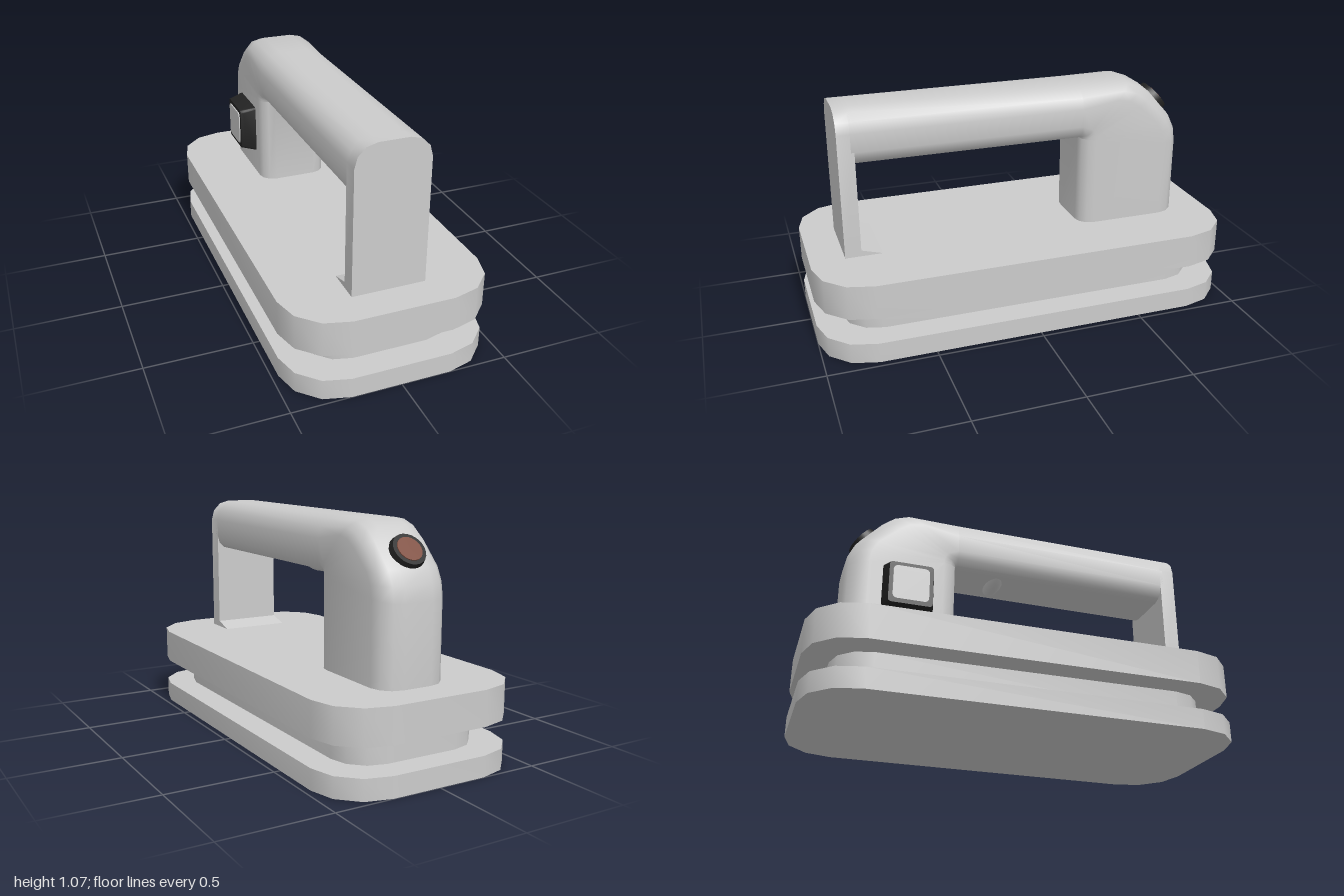
import * as THREE from 'three';
import { toCreasedNormals } from 'three/addons/utils/BufferGeometryUtils.js';

const SEG = 3; // segments per rounded corner
const V = (x, y, z) => new THREE.Vector3(x, y, z);
const grey = new THREE.MeshStandardMaterial({ color: 0xcccccc });
const black = new THREE.MeshStandardMaterial({ color: 0x222222 });
const brown = new THREE.MeshStandardMaterial({ color: 0x7d4a3a });

// Points of a rounded rectangle, counterclockwise; radii run from corner (+,+) round to (+,-)
function roundedRect(a, b, radii) {
  const pts = [];
  [[1, 1], [-1, 1], [-1, -1], [1, -1]].forEach(([sx, sy], k) => {
    const r = radii[k];
    const n = r > 0 ? SEG : 0;
    for (let i = 0; i <= n; i++) {
      const t = (k + (n ? i / n : 0)) * Math.PI / 2;
      pts.push(new THREE.Vector2(sx * (a - r) + r * Math.cos(t), sy * (b - r) + r * Math.sin(t)));
    }
  });
  return pts;
}

// Rounded rectangle placed in space on axes u and v
const ring = (c, u, v, a, b, radii) =>
  roundedRect(a, b, radii).map(p => c.clone().addScaledVector(u, p.x).addScaledVector(v, p.y));

// Capped skin over rings, running along u x v
function loft(rings) {
  const n = rings[0].length;
  const pos = [];
  const idx = [];
  rings.flat().forEach(p => pos.push(p.x, p.y, p.z));
  for (let j = 0; j < rings.length - 1; j++) {
    for (let i = 0; i < n; i++) {
      const a = j * n + i, b = j * n + (i + 1) % n;
      idx.push(a, b, b + n, a, b + n, a + n);
    }
  }
  const last = (rings.length - 1) * n;
  for (let i = 1; i < n - 1; i++) {
    idx.push(0, i + 1, i, last, last + i, last + i + 1);
  }
  const g = new THREE.BufferGeometry();
  g.setAttribute('position', new THREE.Float32BufferAttribute(pos, 3));
  g.setIndex(idx);
  return toCreasedNormals(g, 0.75);
}

function mesh(name, geometry, material = grey) {
  const m = new THREE.Mesh(geometry, material);
  m.name = name;
  return m;
}

// Horizontal plate with rounded corners
function plate(name, a, b, r, y0, y1) {
  const g = new THREE.ExtrudeGeometry(new THREE.Shape(roundedRect(a, b, [r, r, r, r])),
    { depth: y1 - y0, bevelEnabled: false });
  g.rotateX(-Math.PI / 2).translate(0, y0, 0);
  return mesh(name, toCreasedNormals(g, 0.75));
}

export function createModel() {
  const model = new THREE.Group();

  // Base: two wide plates with a narrower core between them
  model.add(
    plate('bottomPlate', 0.47, 1, 0.24, 0, 0.095),
    plate('middleCore', 0.343, 0.875, 0.17, 0.095, 0.22),
    plate('topPlate', 0.47, 1, 0.24, 0.22, 0.38),
  );

  // Handle: inner and outer edge as [z, y] from the rear leg, round the bend, to the front
  const stations = [
    [-0.31, 0.38, -0.835, 0.38],
    [-0.31, 0.81, -0.835, 0.74],
    [-0.31, 0.81, -0.825, 0.81],
    [-0.31, 0.81, -0.795, 0.875],
    [-0.31, 0.81, -0.69, 0.992],
    [-0.31, 0.81, -0.63, 1.04],
    [-0.31, 0.81, -0.56, 1.065],
    [-0.31, 0.81, -0.31, 1.065],
    [0.78, 0.81, 0.78, 1.065],
  ];
  model.add(mesh('handle', loft(stations.map(([z0, y0, z1, y1]) => {
    const inner = V(0, y0, z0), outer = V(0, y1, z1);
    const v = outer.clone().sub(inner);
    const half = v.length() / 2;
    return ring(inner.add(outer).multiplyScalar(0.5), V(1, 0, 0), v.normalize(),
      0.17, half, [0.1, 0.1, 0.07, 0.07]);
  }))));

  // Finger bump under the grip
  const bump = mesh('fingerBump', new THREE.SphereGeometry(1, 20, 14));
  bump.scale.set(0.11, 0.065, 0.05);
  bump.position.set(0, 0.845, -0.09);
  model.add(bump);

  // Flat front support with rounded top
  const strip = new THREE.ExtrudeGeometry(
    new THREE.Shape(roundedRect(0.17, 0.3425, [0.1, 0.1, 0, 0])), { depth: 0.075, bevelEnabled: false });
  strip.translate(0, 0.7225, 0.765);
  model.add(mesh('frontSupport', toCreasedNormals(strip, 0.75)));

  // Low wedge at the foot of the support
  const wedgeShape = new THREE.Shape([[-0.77, 0.37], [-0.65, 0.375], [-0.77, 0.41]]
    .map(p => new THREE.Vector2(...p)));
  const wedge = new THREE.ExtrudeGeometry(wedgeShape, { depth: 0.34, bevelEnabled: false });
  wedge.rotateY(Math.PI / 2).translate(-0.17, 0, 0);
  model.add(mesh('footWedge', wedge));

  // Side switch: tapered dark housing with a pale key
  const switchGroup = new THREE.Group();
  switchGroup.name = 'sideSwitch';
  const block = levels => loft(levels.map(([x, h, r]) =>
    ring(V(x, 0.623, -0.548), V(0, 0, 1), V(0, 1, 0), h, h, [r, r, r, r])));
  switchGroup.add(
    mesh('switchHousing', block([[-0.16, 0.12, 0.012], [-0.175, 0.12, 0.012],
      [-0.23, 0.107, 0.015], [-0.245, 0.103, 0.015]]), black),
    mesh('switchKey', block([[-0.235, 0.087, 0.02], [-0.25, 0.084, 0.02]])),
  );
  model.add(switchGroup);

  // Round button on the sloping rear corner
  const button = new THREE.Group();
  button.name = 'rearButton';
  const bezel = mesh('buttonBezel', toCreasedNormals(new THREE.CylinderGeometry(0.077, 0.086, 0.04, 24), 0.75), black);
  const cap = mesh('buttonCap', toCreasedNormals(new THREE.CylinderGeometry(0.058, 0.06, 0.02, 24), 0.75), brown);
  cap.position.y = 0.014;
  button.add(bezel, cap);
  button.position.set(0, 0.938, -0.744);
  button.rotation.x = -0.86;
  model.add(button);

  return model;
}
